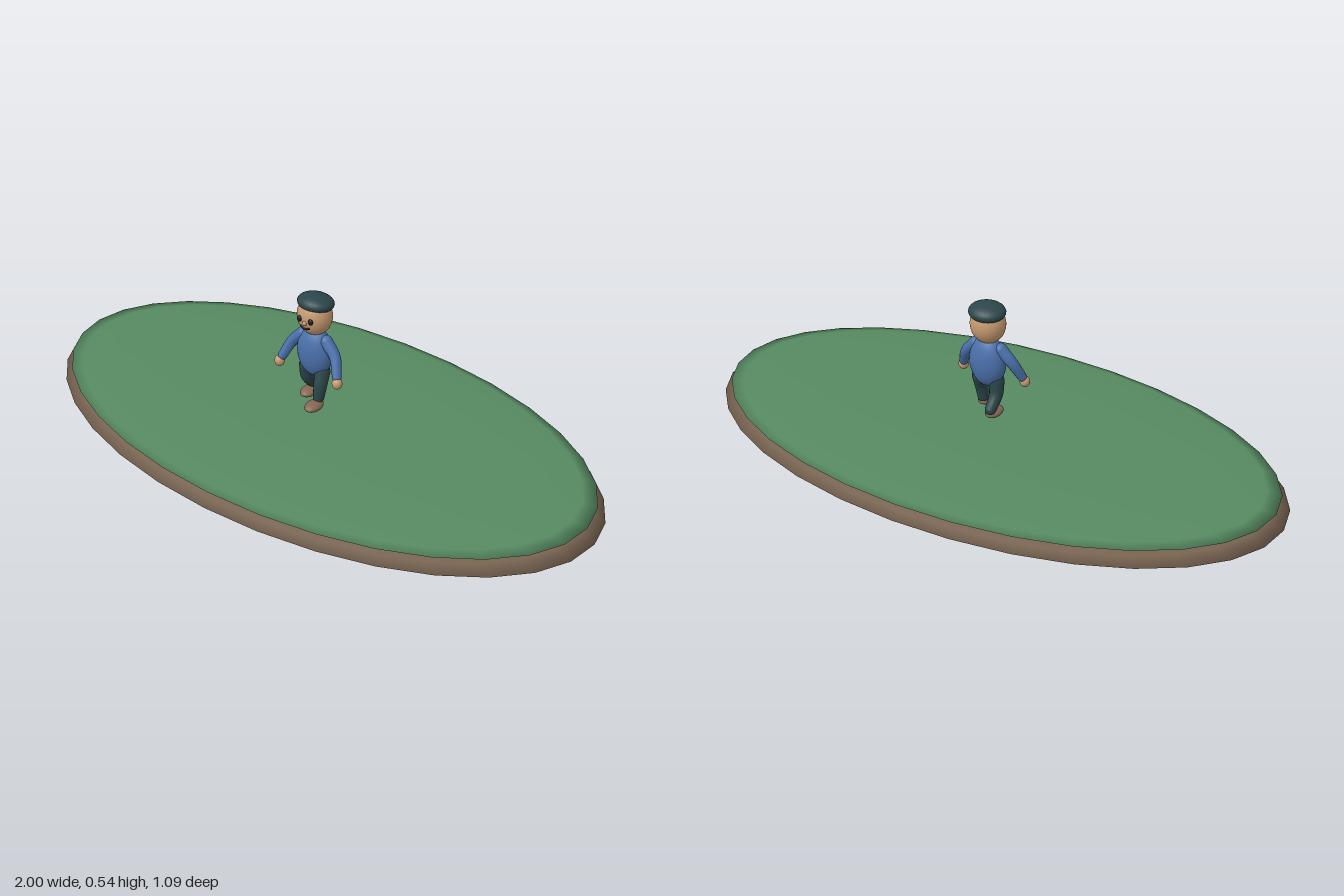
import * as THREE from 'three';

const mat = (name, color) => {
  const m = new THREE.MeshStandardMaterial({ color });
  m.name = name;
  return m;
};

export function createModel() {
  const model = new THREE.Group();
  model.name = 'walkingManOnIsland';
  const soil = mat('soil brown', 0x766250);
  const grass = mat('grass green', 0x568a61);
  const skin = mat('skin', 0xc79a70);
  const blue = mat('sweater blue', 0x4a70ab);
  const teal = mat('dark teal', 0x2b464a);
  const leather = mat('shoe brown', 0x846652);
  const ink = mat('face black', 0x1c1d1f);

  const add = (name, geometry, material) => {
    const mesh = new THREE.Mesh(geometry, material);
    mesh.name = name;
    model.add(mesh);
    return mesh;
  };

  // Ellipsoid from centre and radii
  const blob = (name, material, pos, radii, w = 24, h = 16) => {
    const mesh = add(name, new THREE.SphereGeometry(1, w, h), material);
    mesh.position.set(...pos);
    mesh.scale.set(...radii);
    return mesh;
  };

  // Tapered limb with rounded ends, following a curve
  const limb = (name, material, points, r0, r1) => {
    const curve = new THREE.CatmullRomCurve3(points.map((p) => new THREE.Vector3(...p)));
    const rows = 12, sides = 14;
    const geo = new THREE.TubeGeometry(curve, rows, 1, sides);
    const p = geo.attributes.position;
    const v = new THREE.Vector3();
    for (let i = 0; i < p.count; i++) {
      const t = Math.floor(i / (sides + 1)) / rows;
      const c = curve.getPointAt(t);
      v.fromBufferAttribute(p, i).sub(c).multiplyScalar(r0 + (r1 - r0) * t).add(c);
      p.setXYZ(i, v.x, v.y, v.z);
    }
    geo.computeVertexNormals();
    add(name, geo, material);
    blob(name + 'Top', material, points[0], [r0, r0, r0], 14, 10);
    blob(name + 'End', material, points.at(-1), [r1, r1, r1], 14, 10);
  };

  // Island: two flattened discs
  blob('soil', soil, [0, 0.06, 0], [1, 0.06, 0.546], 32, 10);
  blob('grass', grass, [0, 0.105, 0], [0.972, 0.018, 0.526], 32, 10);

  // Body and head
  blob('torso', blue, [0, 0.338, 0], [0.063, 0.088, 0.043]);
  blob('head', skin, [0, 0.468, 0.001], [0.058, 0.065, 0.053]);
  const cap = blob('cap', teal, [0, 0.511, -0.004], [0.061, 0.028, 0.053]);
  cap.rotation.x = -0.1;

  // Face
  blob('nose', skin, [0, 0.461, 0.053], [0.008, 0.008, 0.007], 12, 8);
  const smile = new THREE.CatmullRomCurve3([
    new THREE.Vector3(-0.018, 0.447, 0.048),
    new THREE.Vector3(0, 0.44, 0.05),
    new THREE.Vector3(0.018, 0.447, 0.048),
  ]);
  add('mouth', new THREE.TubeGeometry(smile, 10, 0.0035, 6), ink);

  for (const s of [1, -1]) {
    const side = s > 0 ? 'left' : 'right';
    blob(side + 'Eye', ink, [s * 0.021, 0.471, 0.051], [0.009, 0.01, 0.006], 12, 8);

    // Arms hang outward, hands slightly forward
    limb(side + 'Arm', blue, [
      [s * 0.045, 0.388, 0.002], [s * 0.083, 0.348, 0.008], [s * 0.107, 0.295, 0.03],
    ], 0.021, 0.015);
    blob(side + 'Hand', skin, [s * 0.113, 0.278, 0.037], [0.017, 0.019, 0.016]);

    // Legs in mid stride, left one forward
    const ankle = s > 0 ? 0.024 : -0.037;
    limb(side + 'Leg', teal, [
      [s * 0.03, 0.275, 0.002], [s * 0.034, 0.23, s > 0 ? 0.018 : -0.006], [s * 0.032, 0.187, ankle],
    ], 0.026, 0.018);
    blob(side + 'Shoe', leather, [s * 0.032, 0.169, ankle + 0.024], [0.026, 0.015, 0.038]);
  }
  return model;
}
